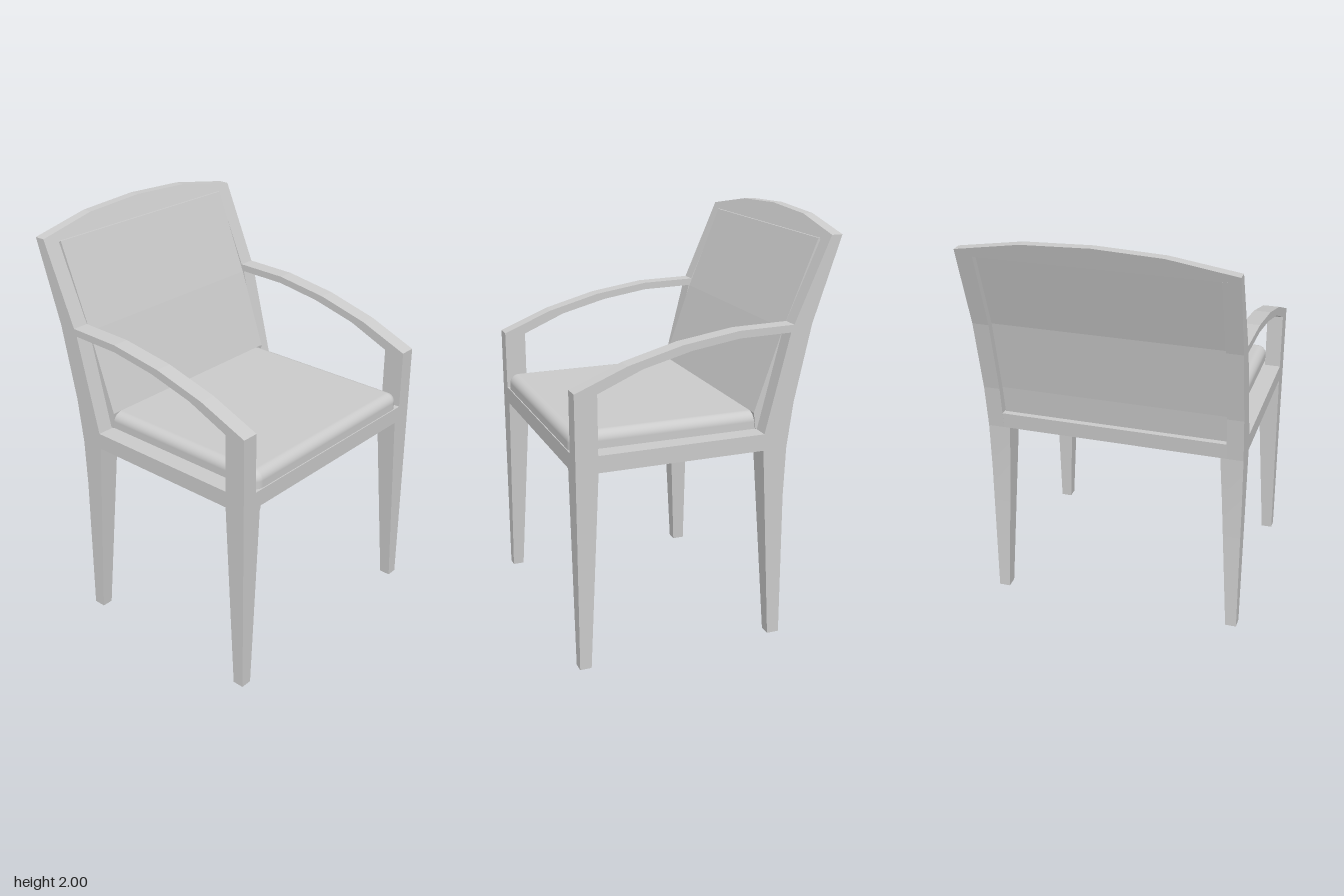
import * as THREE from 'three';
import { RoundedBoxGeometry } from 'three/addons/geometries/RoundedBoxGeometry.js';

const material = new THREE.MeshStandardMaterial({ color: 0xcccccc });
const OUT = 0.635;  // outer side of the frame
const IN = 0.555;   // inner side of the frame
const RAIL = 0.95;  // underside of the seat frame

const vec = (points) => points.map(([x, y]) => new THREE.Vector2(x, y));

function addMesh(group, name, geometry) {
  const mesh = new THREE.Mesh(geometry, material);
  mesh.name = name;
  group.add(mesh);
  return mesh;
}

// Side profile (x, y) extruded across z from z0 to z1
function slab(points, z0, z1, hole) {
  const shape = new THREE.Shape(vec(points));
  if (hole) shape.holes.push(new THREE.Path(vec(hole)));
  const geometry = new THREE.ExtrudeGeometry(shape, { depth: z1 - z0, bevelEnabled: false });
  return geometry.translate(0, 0, z0);
}

// Four-sided leg whose x and z limits follow its height
function leg(xRange, side) {
  const geometry = new THREE.BoxGeometry(1, 1, 1, 1, 4, 1);
  const p = geometry.attributes.position;
  for (let i = 0; i < p.count; i++) {
    const t = p.getY(i) + 0.5;
    const [x0, x1] = xRange(t);
    const inner = THREE.MathUtils.lerp(0.58, 0.525, t);
    const [z0, z1] = side > 0 ? [inner, OUT] : [-OUT, -inner];
    p.setXYZ(i, p.getX(i) < 0 ? x0 : x1, t * RAIL, p.getZ(i) < 0 ? z0 : z1);
  }
  geometry.computeVertexNormals();
  return geometry;
}

// Arched top rail that leans back with the posts
function topRail() {
  const shape = new THREE.Shape(vec([
    [-OUT, 1.9], [OUT, 1.9], [OUT, 1.93], [0.32, 1.985], [0, 2], [-0.32, 1.985], [-OUT, 1.93],
  ]));
  const geometry = new THREE.ExtrudeGeometry(shape, { depth: 1, bevelEnabled: false });
  geometry.rotateY(Math.PI / 2);
  const p = geometry.attributes.position;
  for (let i = 0; i < p.count; i++) {
    const y = p.getY(i);
    p.setX(i, p.getX(i) < 0.5 ? -0.49 - 0.34 * (y - 1.53) : -0.4 - 0.432 * (y - 1.53));
  }
  geometry.computeVertexNormals();
  return geometry;
}

export function createModel() {
  const chair = new THREE.Group();
  chair.name = 'armchair';

  // Back post, side rail, front post and arm as one ring-shaped profile
  const frame = [
    [-0.38, RAIL], [0.645, RAIL], [0.645, 1.32], [0.4, 1.42], [0.14, 1.49], [-0.13, 1.53],
    [-0.4, 1.535], [-0.56, 1.9], [-0.616, 1.9], [-0.49, 1.53], [-0.41, 1.17],
  ];
  const opening = [
    [-0.265, 1.03], [-0.385, 1.5], [-0.13, 1.495], [0.1, 1.46], [0.33, 1.4], [0.54, 1.31], [0.54, 1.03],
  ];
  const backRange = (t) => [
    t > 0.75 ? THREE.MathUtils.lerp(-0.37, -0.38, (t - 0.75) * 4) : -0.37,
    THREE.MathUtils.lerp(-0.31, -0.262, t),
  ];
  const frontRange = (t) => [THREE.MathUtils.lerp(0.59, 0.54, t), 0.645];

  for (const side of [1, -1]) {
    const label = side > 0 ? 'left' : 'right';
    const [z0, z1] = side > 0 ? [IN, OUT] : [-OUT, -IN];
    addMesh(chair, `${label}SideFrame`, slab(frame, z0, z1, opening));
    addMesh(chair, `${label}FrontLeg`, leg(frontRange, side));
    addMesh(chair, `${label}BackLeg`, leg(backRange, side));
  }

  addMesh(chair, 'topRail', topRail());

  // Seat base, flush with the side rails
  addMesh(chair, 'seatFrame', slab(
    [[-0.38, RAIL], [0.645, RAIL], [0.645, 1.03], [-0.39, 1.03]], -IN, IN));

  // Cushion, its lower part sunk in the frame and its back end under the backrest
  const cushion = addMesh(chair, 'seatCushion', new RoundedBoxGeometry(0.96, 0.14, 1.09, 5, 0.045));
  cushion.position.set(0.16, 1.04, 0);

  // Upholstered backrest, slightly proud in front and recessed behind
  addMesh(chair, 'backrest', slab([
    [-0.26, 1.03], [-0.25, 1.11], [-0.388, 1.5], [-0.553, 1.905], [-0.595, 1.905],
    [-0.465, 1.53], [-0.385, 1.17], [-0.36, 1.03],
  ], -0.55, 0.55));

  return chair;
}
